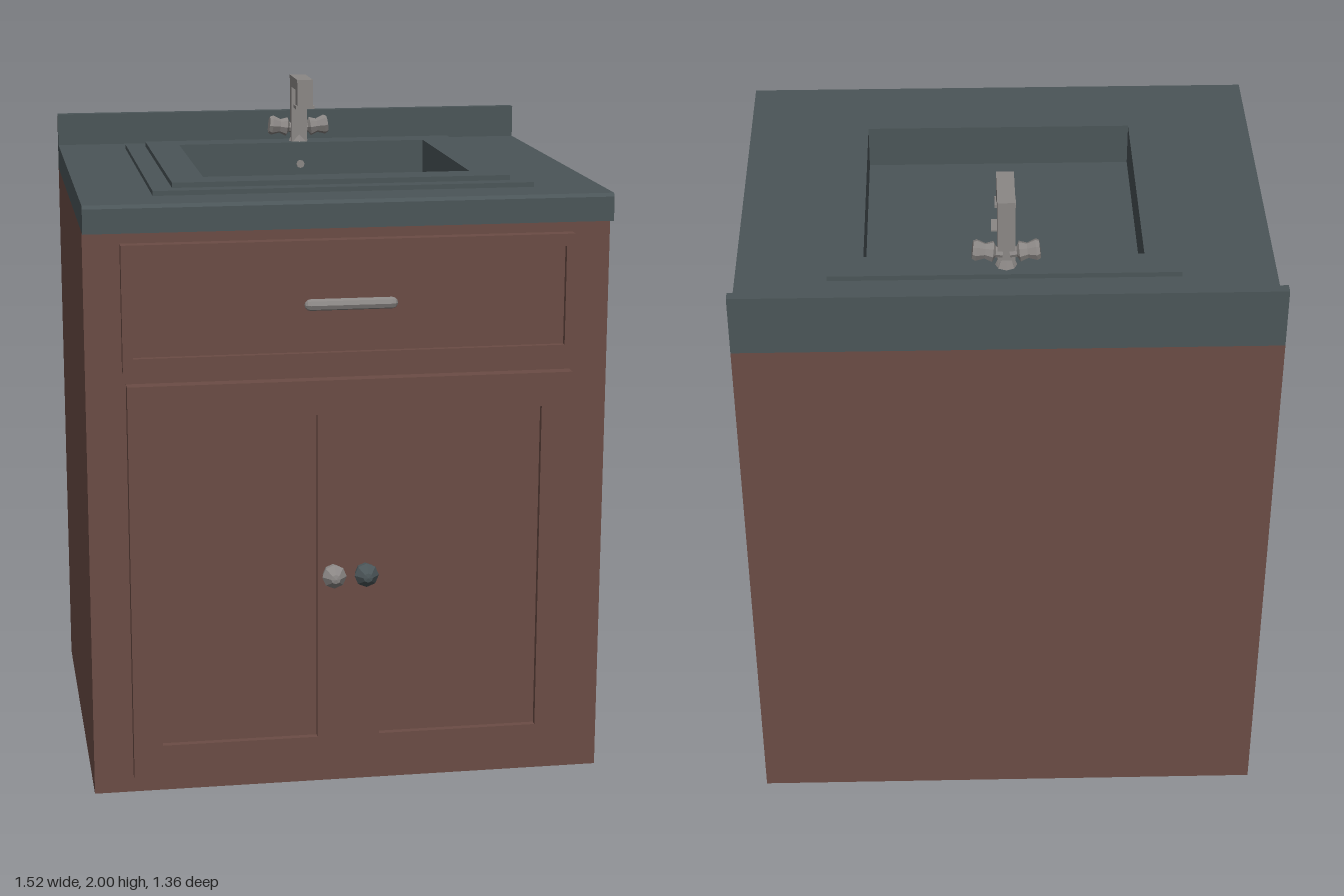
import * as THREE from 'three';

const mat = (name, color) => Object.assign(new THREE.MeshStandardMaterial({ color, flatShading: true }), { name });

export function createModel() {
  const model = new THREE.Group();
  model.name = 'bathroomVanity';
  const wood = mat('brownWood', 0x6b4c45);
  const stone = mat('slateStone', 0x4b5558);
  const metal = mat('greyMetal', 0x8b8785);

  const add = (name, geo, material, parent = model) => {
    const mesh = new THREE.Mesh(geo, material);
    mesh.name = name;
    parent.add(mesh);
    return mesh;
  };

  // Box given by its limits on each axis
  const box = (name, [x0, x1], [y0, y1], [z0, z1], material, parent) =>
    add(name, new THREE.BoxGeometry(x1 - x0, y1 - y0, z1 - z0)
      .translate((x0 + x1) / 2, (y0 + y1) / 2, (z0 + z1) / 2), material, parent);

  // Rectangular frame [x0, x1, y0, y1] with rectangular holes, extruded along z
  const rect = (path, [x0, x1, y0, y1]) =>
    path.moveTo(x0, y0).lineTo(x1, y0).lineTo(x1, y1).lineTo(x0, y1).closePath();
  const frame = (outer, holes, from, to) => {
    const shape = rect(new THREE.Shape(), outer);
    holes.forEach((h) => shape.holes.push(rect(new THREE.Path(), h)));
    return new THREE.ExtrudeGeometry(shape, { depth: to - from, bevelEnabled: false }).translate(0, 0, from);
  };
  // The same frame lying flat, with z limits instead of y and extruded upwards
  const flat = ([x0, x1, z0, z1], [a, b, c, d], from, to) =>
    frame([x0, x1, -z1, -z0], [[a, b, -d, -c]], from, to).rotateX(-Math.PI / 2);

  // Cabinet, open at the top under the counter so the bowl can hang inside
  const body = box('cabinet', [-0.76, 0.76], [0, 1.68], [-0.68, 0.58], wood);
  const index = [...body.geometry.index.array];
  index.splice(12, 6);
  body.geometry.setIndex(index);
  body.geometry.clearGroups();

  // Drawer front with recessed panel and bar handle
  add('drawerFrame', frame([-0.655, 0.65, 1.28, 1.645], [[-0.625, 0.625, 1.32, 1.61]], 0.58, 0.615), wood);
  box('drawerPanel', [-0.63, 0.63], [1.31, 1.615], [0.58, 0.597], wood);
  add('drawerHandle', new THREE.CapsuleGeometry(0.017, 0.236, 3, 8).rotateZ(Math.PI / 2)
    .translate(0, 1.458, 0.604), metal);

  // Pair of doors with recessed panels
  add('doorFrame', frame([-0.645, 0.65, 0.055, 1.24],
    [[-0.56, -0.1, 0.155, 1.14], [0.085, 0.56, 0.155, 1.14]], 0.58, 0.62), wood);
  for (const [x0, x1] of [[-0.57, -0.09], [0.075, 0.57]]) {
    box('doorPanel', [x0, x1], [0.145, 1.15], [0.58, 0.6], wood);
  }

  // Faceted door knobs
  const knobProfile = [[0.03, 0], [0.03, 0.02], [0.036, 0.03], [0.014, 0.057], [0, 0.06]]
    .map(([r, y]) => new THREE.Vector2(r, y));
  for (const [x, material] of [[-0.055, metal], [0.04, stone]]) {
    add('doorKnob', new THREE.LatheGeometry(knobProfile, 8).rotateX(Math.PI / 2)
      .translate(x, 0.66, 0.62), material);
  }

  // Countertop with chamfered front edge and backsplash
  const bowl = [-0.39, 0.4, -0.38, 0.32];
  const cutout = [-0.42, 0.43, -0.41, 0.35];
  add('countertop', flat([-0.76, 0.76, -0.68, 0.61], cutout, 1.68, 1.76), stone);
  const edge = new THREE.Shape([[-0.61, 1.68], [-0.61, 1.76], [-0.612, 1.76], [-0.62, 1.75], [-0.62, 1.68]]
    .map(([x, y]) => new THREE.Vector2(x, y)));
  add('counterFrontEdge', new THREE.ExtrudeGeometry(edge, { depth: 1.52, bevelEnabled: false })
    .translate(0, 0, -0.76).rotateY(Math.PI / 2), stone);
  box('backsplash', [-0.76, 0.76], [1.76, 1.86], [-0.68, -0.65], stone);

  // Stepped sink rim, bowl walls and floor
  add('sinkLowerRim', flat([-0.55, 0.56, -0.53, 0.47], cutout, 1.76, 1.774), stone);
  add('sinkUpperRimAndBowl', flat([-0.49, 0.5, -0.475, 0.42], bowl, 1.65, 1.789), stone);
  box('bowlFloor', [-0.4, 0.41], [1.64, 1.66], [-0.39, 0.33], stone);

  // Drain and overflow
  box('drain', [-0.03, 0.035], [1.66, 1.665], [-0.06, 0], metal);
  add('overflow', new THREE.CylinderGeometry(0.013, 0.013, 0.006, 8).rotateX(Math.PI / 2)
    .translate(0, 1.72, -0.378), metal);

  // Square faucet: side outline extruded across x
  const faucet = new THREE.Group();
  faucet.name = 'faucet';
  model.add(faucet);
  const spout = new THREE.Shape([[0.44, 1.789], [0.44, 2], [0.275, 2], [0.275, 1.91], [0.317, 1.91],
    [0.317, 1.965], [0.403, 1.965], [0.403, 1.789]].map(([x, y]) => new THREE.Vector2(x, y)));
  add('spout', new THREE.ExtrudeGeometry(spout, { depth: 0.05, bevelEnabled: false })
    .translate(0, 0, -0.025).rotateY(Math.PI / 2), metal, faucet);
  box('spoutTip', [-0.03, 0.03], [1.908, 1.918], [-0.32, -0.272], metal, faucet);
  add('faucetBase', new THREE.CylinderGeometry(0.022, 0.031, 0.022, 8).translate(0, 1.8, -0.425), metal, faucet);

  // Flared tap handles on either side
  const tapProfile = [[0, 0.01], [0.016, 0.01], [0.016, 0.03], [0.03, 0.038], [0.022, 0.06],
    [0.031, 0.085], [0.026, 0.095], [0, 0.095]].map(([r, y]) => new THREE.Vector2(r, y));
  for (const side of [-1, 1]) {
    const tap = add('tapHandle', new THREE.LatheGeometry(tapProfile, 8), metal, faucet);
    tap.position.set(0, 1.83, -0.428);
    tap.rotation.z = -side * (Math.PI / 2 - 0.12);
  }
  return model;
}
